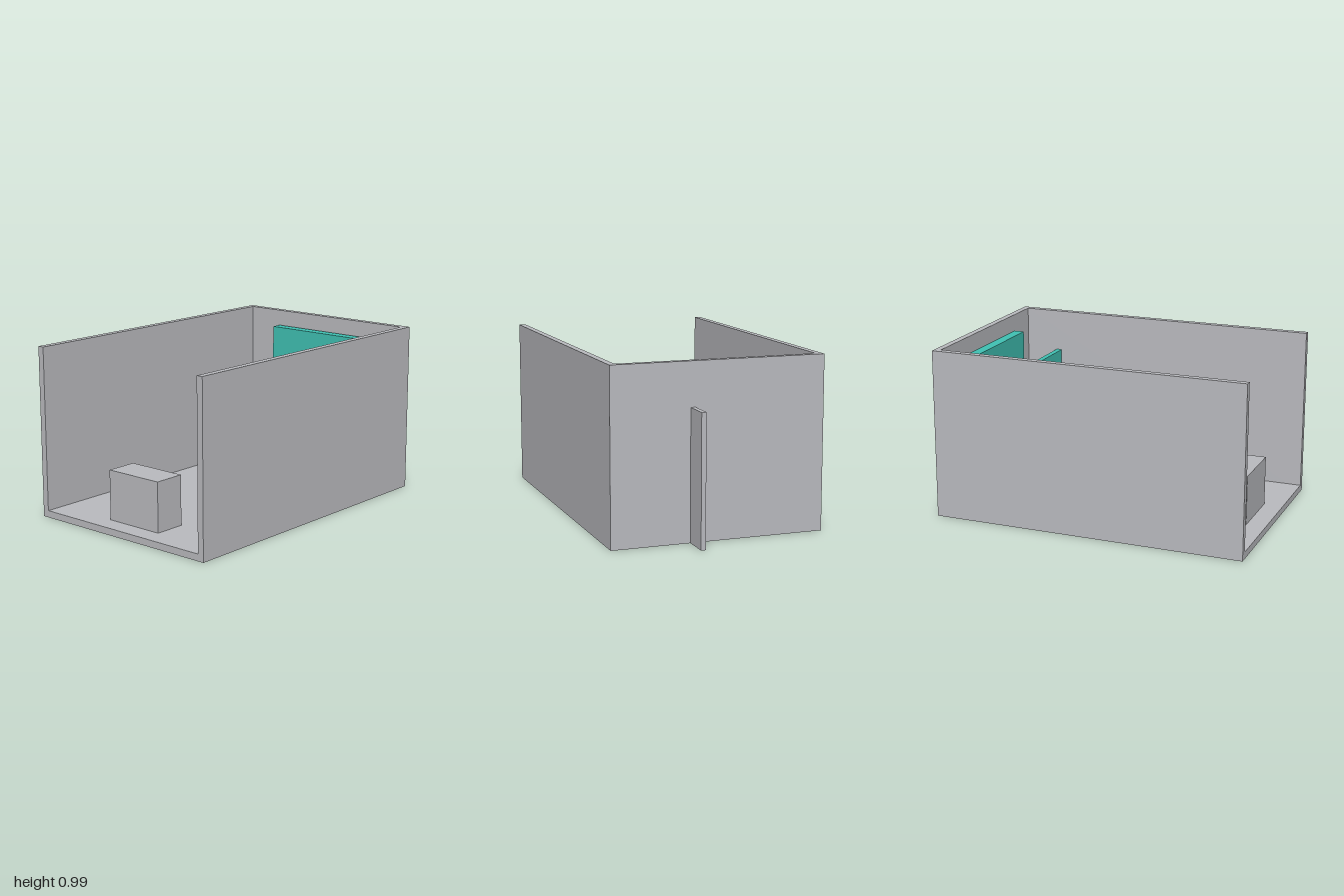
import * as THREE from 'three';

const grey = new THREE.MeshStandardMaterial({ color: 0xbabbbf });
grey.name = 'light grey';
const teal = new THREE.MeshStandardMaterial({ color: 0x40c1b3 });
teal.name = 'teal';

// Box given by its extents along each axis
function block(name, material, [x0, x1], [y0, y1], [z0, z1]) {
  const mesh = new THREE.Mesh(new THREE.BoxGeometry(x1 - x0, y1 - y0, z1 - z0), material);
  mesh.position.set((x0 + x1) / 2, (y0 + y1) / 2, (z0 + z1) / 2);
  mesh.name = name;
  return mesh;
}

export function createModel() {
  const room = new THREE.Group();
  room.name = 'room';

  const outer = 0.612, inner = 0.574, height = 0.987, floorTop = 0.04;
  const front = 1, back = -0.843, backInner = -0.805;

  // Side and back walls: a U-shaped plan, open at the front (shape y is -z)
  const plan = new THREE.Shape([
    [-outer, -front], [-inner, -front], [-inner, -backInner], [inner, -backInner],
    [inner, -front], [outer, -front], [outer, -back], [-outer, -back],
  ].map(([x, y]) => new THREE.Vector2(x, y)));
  const wallGeometry = new THREE.ExtrudeGeometry(plan, { depth: height, bevelEnabled: false });
  wallGeometry.rotateX(-Math.PI / 2);
  const walls = new THREE.Mesh(wallGeometry, grey);
  walls.name = 'walls';

  room.add(
    walls,
    block('floor', grey, [-inner, inner], [0, floorTop], [backInner, front]),
    // Free-standing block near the open front
    block('desk', grey, [-0.184, 0.182], [floorTop, 0.329], [0.703, 0.888]),
    // Panel and shelf at the back wall
    block('screen', teal, [-0.339, 0.336], [0.187, 0.895], [-0.789, -0.725]),
    block('shelf', grey, [-0.278, 0.276], [0.128, 0.187], [-0.789, -0.631]),
    // Partition passing through the back wall, with the panel beside it
    block('partition', grey, [0.136, 0.163], [0, 0.739], [-1, -0.587]),
    block('door', teal, [0.16, inner], [0.001, 0.739], [-0.61, -0.577]),
  );
  return room;
}
